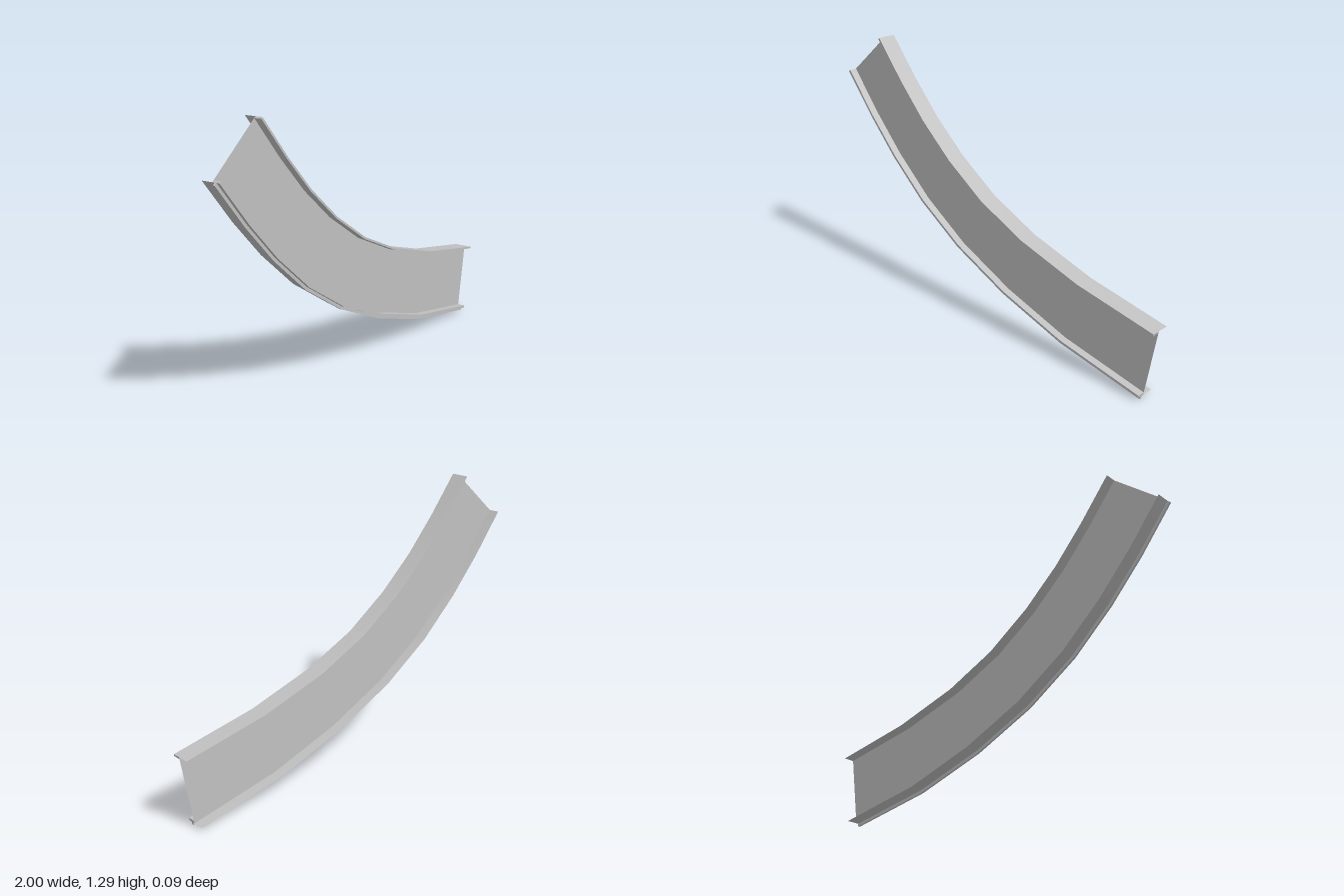
import * as THREE from 'three';

// Matching stations along the lower and upper edges of the curved beam
const LOW = [[-1, 1.06], [-0.835, 0.86], [-0.665, 0.68], [-0.455, 0.497],
  [-0.195, 0.332], [0.12, 0.193], [0.487, 0.08], [0.942, 0]];
const HIGH = [[-0.73, 1.29], [-0.575, 1.105], [-0.42, 0.94], [-0.24, 0.785],
  [-0.02, 0.64], [0.24, 0.525], [0.58, 0.428], [1, 0.355]];
const N = LOW.length;

// Point at station i, depth z and height fraction f across the beam
const point = (i, [z, f]) => [
  LOW[i][0] + (HIGH[i][0] - LOW[i][0]) * f,
  LOW[i][1] + (HIGH[i][1] - LOW[i][1]) * f,
  z];

// Sweep each profile edge as its own strip: smooth along, sharp across
function sweep(profile, closed) {
  const pos = [], index = [];
  const edges = closed ? profile.length : profile.length - 1;
  for (let e = 0; e < edges; e++) {
    const a = profile[e], b = profile[(e + 1) % profile.length];
    const base = pos.length / 3;
    for (let i = 0; i < N; i++) {
      pos.push(...point(i, a), ...point(i, b));
      if (i === N - 1) continue;
      const k = base + i * 2;
      index.push(k, k + 2, k + 1, k + 1, k + 2, k + 3);
    }
  }
  // End caps of closed four-sided bars
  if (closed) {
    for (const i of [0, N - 1]) {
      const k = pos.length / 3;
      for (const p of profile) pos.push(...point(i, p));
      if (i === 0) index.push(k, k + 1, k + 2, k, k + 2, k + 3);
      else index.push(k, k + 2, k + 1, k, k + 3, k + 2);
    }
  }
  const geo = new THREE.BufferGeometry();
  geo.setAttribute('position', new THREE.Float32BufferAttribute(pos, 3));
  geo.setIndex(index);
  geo.computeVertexNormals();
  return geo;
}

export function createModel() {
  const group = new THREE.Group();
  const steel = new THREE.MeshStandardMaterial({ color: 0xc0c0c0, side: THREE.DoubleSide });
  steel.name = 'light grey steel';
  const add = (name, profile, closed = false) => {
    const mesh = new THREE.Mesh(sweep(profile, closed), steel);
    mesh.name = name;
    group.add(mesh);
  };
  const bar = (z0, z1, f0, f1) => [[z1, f0], [z1, f1], [z0, f1], [z0, f0]];
  const front = 0.046, back = -0.046, web = 0.009;

  // Upright sheet between the flanges
  add('web', [[web, 0.04], [web, 1]]);
  // Thick front lips
  add('upperFrontFlange', bar(web, front, 0.972, 1), true);
  add('lowerFrontFlange', bar(web, front, 0.04, 0.075), true);
  // Thin rear flanges
  add('upperRearFlange', [[web, 1], [back, 1]]);
  add('lowerRearFlange', [[web, 0.04], [back, 0.04]]);
  // Narrow rail under the lower flange
  add('bottomRib', bar(0.021, 0.031, 0, 0.04), true);
  return group;
}
